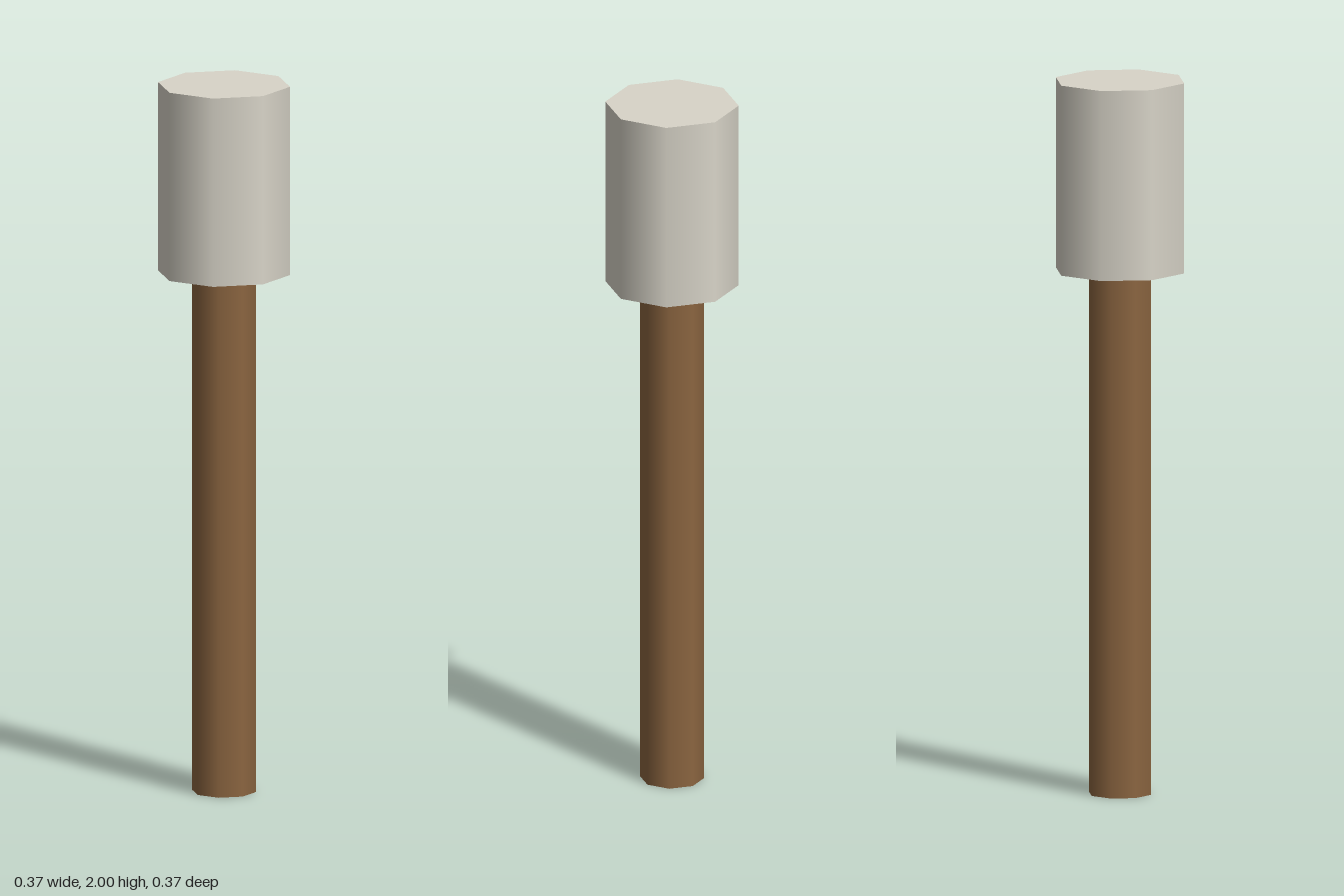
import * as THREE from 'three';

// Smooth-shaded eight-sided cylinder spanning two heights
function octagonalPart(name, radius, bottom, top, color) {
  const mesh = new THREE.Mesh(
    new THREE.CylinderGeometry(radius, radius, top - bottom, 8),
    new THREE.MeshStandardMaterial({ color })
  );
  mesh.name = name;
  mesh.position.y = (bottom + top) / 2;
  return mesh;
}

export function createModel() {
  const model = new THREE.Group();
  model.name = 'mallet';
  // Slim wooden handle
  model.add(octagonalPart('handle', 0.089, 0, 1.467, 0x8b6540));
  // Wide pale head on top
  model.add(octagonalPart('head', 0.185, 1.467, 2, 0xd8d4c8));
  return model;
}
